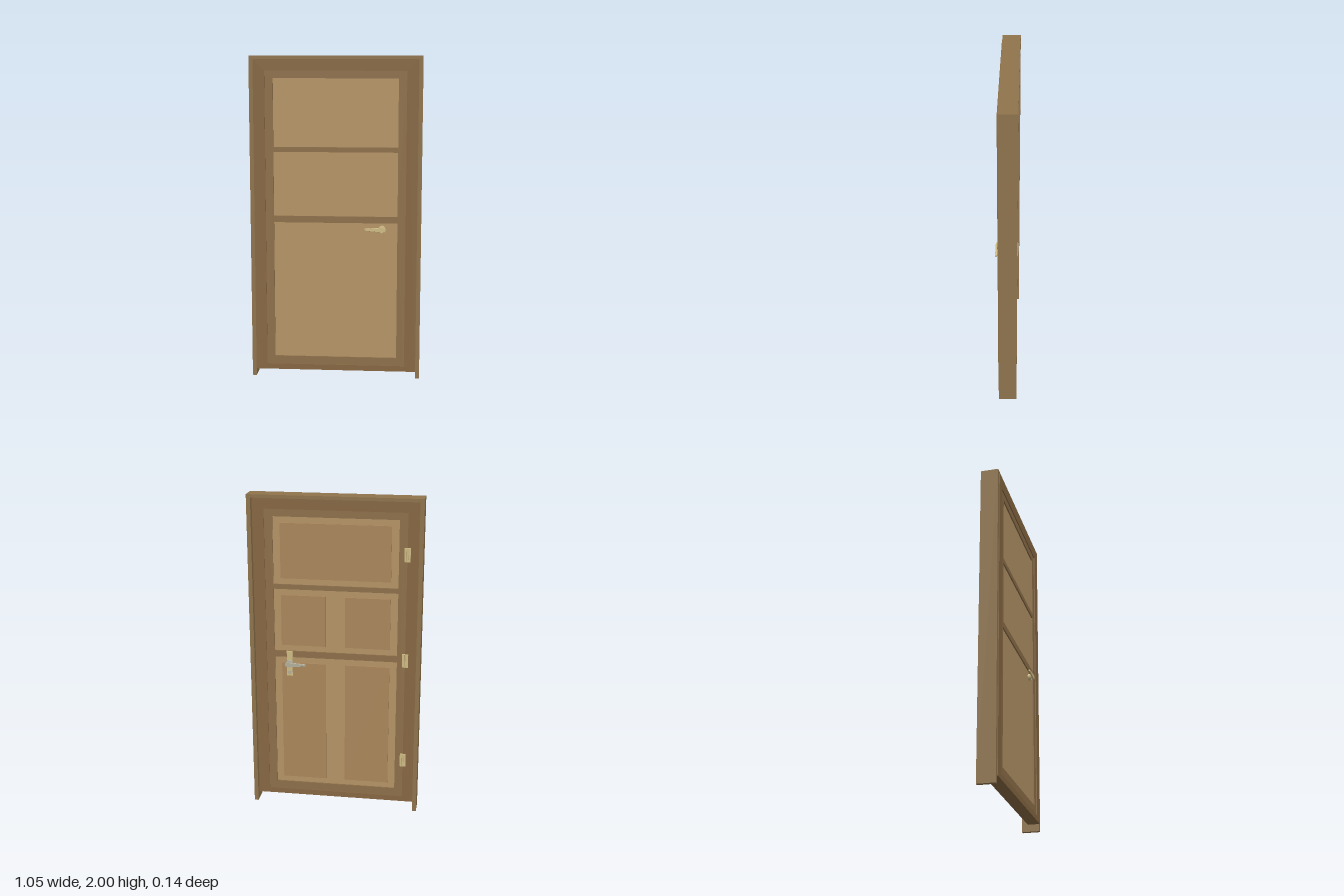
import * as THREE from 'three';

const mat = (color) => new THREE.MeshStandardMaterial({ color });

export function createModel() {
  const model = new THREE.Group();
  const jambWood = mat(0x8f744d), casingWood = mat(0x876843), leafWood = mat(0x8e704a);
  const panelWood = mat(0xb59466), raisedWood = mat(0xab875c);
  const brass = mat(0xd0bc84), steel = mat(0xb4b09c);

  function add(name, geometry, material, parent = model) {
    const mesh = new THREE.Mesh(geometry, material);
    mesh.name = name;
    parent.add(mesh);
    return mesh;
  }

  // Box given by its limits on each axis
  function box(name, [x0, x1], [y0, y1], [z0, z1], material, parent = model) {
    const mesh = add(name, new THREE.BoxGeometry(x1 - x0, y1 - y0, z1 - z0), material, parent);
    mesh.position.set((x0 + x1) / 2, (y0 + y1) / 2, (z0 + z1) / 2);
    return mesh;
  }

  // Closed rectangle outline
  function rect(path, x0, x1, y0, y1) {
    path.moveTo(x0, y0);
    path.lineTo(x1, y0);
    path.lineTo(x1, y1);
    path.lineTo(x0, y1);
    path.closePath();
    return path;
  }

  // Rectangular slab with rectangular openings, from z0 to z1
  function slab(name, outer, holes, z0, z1, material) {
    const shape = rect(new THREE.Shape(), ...outer);
    holes.forEach((h) => shape.holes.push(rect(new THREE.Path(), ...h)));
    const g = new THREE.ExtrudeGeometry(shape, { depth: z1 - z0, bevelEnabled: false });
    g.translate(0, 0, z0);
    return add(name, g, material);
  }

  // Outer jambs stand on the floor, joined by the head
  const jamb = new THREE.Shape();
  [[-0.525, 0], [-0.5, 0], [-0.5, 1.98], [0.5, 1.98], [0.5, 0], [0.525, 0], [0.525, 2], [-0.525, 2]]
    .forEach(([x, y], i) => (i ? jamb.lineTo(x, y) : jamb.moveTo(x, y)));
  const jambGeometry = new THREE.ExtrudeGeometry(jamb, { depth: 0.11, bevelEnabled: false });
  jambGeometry.translate(0, 0, -0.068);
  add('outerJamb', jambGeometry, jambWood);

  // Casing ring around the leaf
  slab('casing', [-0.5, 0.5, 0.045, 1.98], [[-0.43, 0.43, 0.08, 1.91]], -0.03, 0.046, casingWood);

  // Leaf frame with three openings
  const fields = [[0.13, 0.985], [1.025, 1.42], [1.45, 1.865]];
  slab('leafFrame', [-0.43, 0.43, 0.08, 1.91],
    fields.map(([y0, y1]) => [-0.38, 0.38, y0, y1]), -0.024, 0.04, leafWood);

  // Recessed panels, with raised fields on the back only
  const halves = [[-0.335, -0.06], [0.06, 0.335]];
  fields.forEach(([y0, y1], i) => {
    box('panel', [-0.38, 0.38], [y0, y1], [-0.016, 0.032], panelWood);
    const columns = i === 2 ? [[-0.335, 0.335]] : halves;
    columns.forEach((x) => box('raisedField', x, [y0 + 0.038, y1 - 0.038], [-0.025, -0.015], raisedWood));
  });

  // Hinges on the back
  for (const y of [0.335, 1.0, 1.66]) {
    const hinge = new THREE.Group();
    hinge.name = 'hinge';
    box('hingeLeaf', [-0.449, -0.412], [y - 0.042, y + 0.042], [-0.036, -0.022], brass, hinge);
    const pin = add('hingePin', new THREE.CylinderGeometry(0.005, 0.005, 0.084, 12), brass, hinge);
    pin.position.set(-0.43, y, -0.036);
    model.add(hinge);
  }

  // Lever handle facing +z: rose, neck and tapered lever pointing to -x
  function handle(name, roseMaterial, leverMaterial) {
    const group = new THREE.Group();
    group.name = name;
    const disc = (part, r, z0, z1, material) => {
      const m = add(part, new THREE.CylinderGeometry(r, r, z1 - z0, 24), material, group);
      m.rotation.x = Math.PI / 2;
      m.position.z = (z0 + z1) / 2;
    };
    disc('rose', 0.022, 0, 0.02, roseMaterial);
    disc('neck', 0.011, 0.02, 0.036, leverMaterial);
    const outline = new THREE.Shape();
    outline.moveTo(-0.105, -0.004);
    outline.lineTo(-0.02, -0.012);
    outline.quadraticCurveTo(0.024, -0.018, 0.024, 0);
    outline.quadraticCurveTo(0.024, 0.018, -0.02, 0.012);
    outline.lineTo(-0.105, 0.006);
    outline.closePath();
    const g = new THREE.ExtrudeGeometry(outline, {
      depth: 0.006, bevelThickness: 0.002, bevelSize: 0.001, bevelSegments: 2, curveSegments: 8,
    });
    add('lever', g, leverMaterial, group).position.z = 0.028;
    model.add(group);
    return group;
  }

  handle('frontHandle', brass, brass).position.set(0.285, 0.948, 0.031);
  const back = handle('backHandle', steel, steel);
  back.position.set(0.285, 0.948, -0.034);
  back.scale.z = -1;

  // Back plate with a lock cylinder below the lever
  box('backPlate', [0.267, 0.303], [0.865, 1.025], [-0.034, -0.02], brass);
  const lock = add('lockCylinder', new THREE.CylinderGeometry(0.011, 0.011, 0.012, 20), steel);
  lock.rotation.x = Math.PI / 2;
  lock.position.set(0.285, 0.89, -0.035);

  return model;
}
